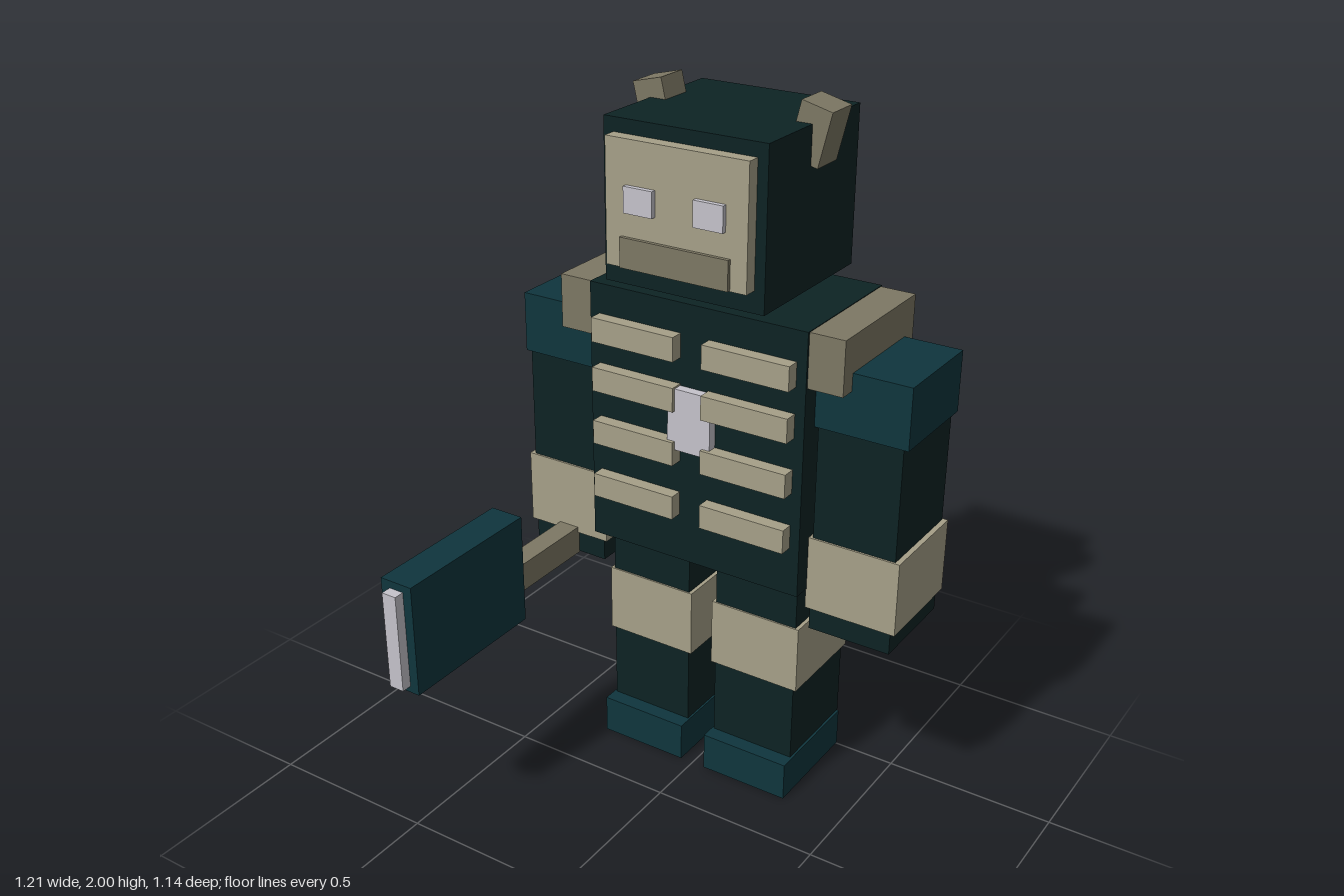
import * as THREE from 'three';

const mat = (name, color) => {
  const m = new THREE.MeshStandardMaterial({ color });
  m.name = name;
  return m;
};

export function createModel() {
  const dark = mat('dark green', 0x0d2324);
  const teal = mat('teal', 0x0f353d);
  const bone = mat('bone', 0xa6a088);
  const horn = mat('dull brown', 0x7d7864);
  const silver = mat('silver', 0xc5c3cb);

  const model = new THREE.Group();
  model.name = 'blockFighter';

  // Box from its min and max along each axis
  const box = (name, material, [x0, x1], [y0, y1], [z0, z1], parent = model) => {
    const mesh = new THREE.Mesh(new THREE.BoxGeometry(x1 - x0, y1 - y0, z1 - z0), material);
    mesh.position.set((x0 + x1) / 2, (y0 + y1) / 2, (z0 + z1) / 2);
    mesh.name = name;
    parent.add(mesh);
    return mesh;
  };

  // Same box on the left (+x) and mirrored to the right
  const pair = (name, material, [x0, x1], y, z) => {
    box(name + 'Left', material, [x0, x1], y, z);
    box(name + 'Right', material, [-x1, -x0], y, z);
  };

  // Head and face
  box('head', dark, [-0.24, 0.24], [1.508, 1.943], [-0.568, -0.104]);
  box('facePlate', bone, [-0.21, 0.21], [1.568, 1.905], [-0.11, -0.066]);
  box('mouth', horn, [-0.162, 0.162], [1.57, 1.652], [-0.07, -0.055]);
  pair('eye', silver, [0.06, 0.147], [1.718, 1.788], [-0.07, -0.052]);

  // Horns leaning outward
  for (const [side, s] of [['Left', 1], ['Right', -1]]) {
    const h = box('horn' + side, horn, [-0.045, 0.045], [-0.075, 0.075], [-0.05, 0.05]);
    h.position.set(s * 0.233, 1.916, -0.365);
    h.rotation.z = -s * 0.24;
  }

  // Torso, ribs and chest core
  box('torso', dark, [-0.335, 0.335], [0.697, 1.466], [-0.568, -0.163]);
  for (const y of [0.84, 1.005, 1.165, 1.31]) {
    pair('rib', bone, [0.044, 0.306], [y, y + 0.07], [-0.17, -0.124]);
  }
  box('chestCore', silver, [-0.067, 0.067], [1.05, 1.23], [-0.17, -0.135]);
  pair('shoulderPad', horn, [0.3, 0.437], [1.31, 1.464], [-0.562, -0.17]);

  // Arms
  pair('arm', dark, [0.345, 0.59], [0.572, 1.3], [-0.508, -0.222]);
  pair('sleeve', teal, [0.33, 0.605], [1.185, 1.36], [-0.512, -0.218]);
  pair('cuff', bone, [0.333, 0.605], [0.638, 0.857], [-0.514, -0.216]);

  // Legs
  pair('leg', dark, [0.046, 0.306], [0.003, 0.69], [-0.51, -0.22]);
  pair('kneeGuard', bone, [0.035, 0.317], [0.353, 0.557], [-0.515, -0.215]);
  pair('shoe', teal, [0.04, 0.313], [0, 0.117], [-0.505, -0.174]);

  // Cleaver held in the right hand
  const cleaver = new THREE.Group();
  cleaver.name = 'cleaver';
  model.add(cleaver);
  box('handle', horn, [-0.502, -0.437], [0.569, 0.655], [-0.3, 0.08], cleaver);
  box('blade', teal, [-0.519, -0.417], [0.492, 0.825], [0.073, 0.538], cleaver);
  box('bladeEdge', silver, [-0.49, -0.445], [0.512, 0.803], [0.53, 0.568], cleaver);

  return model;
}
